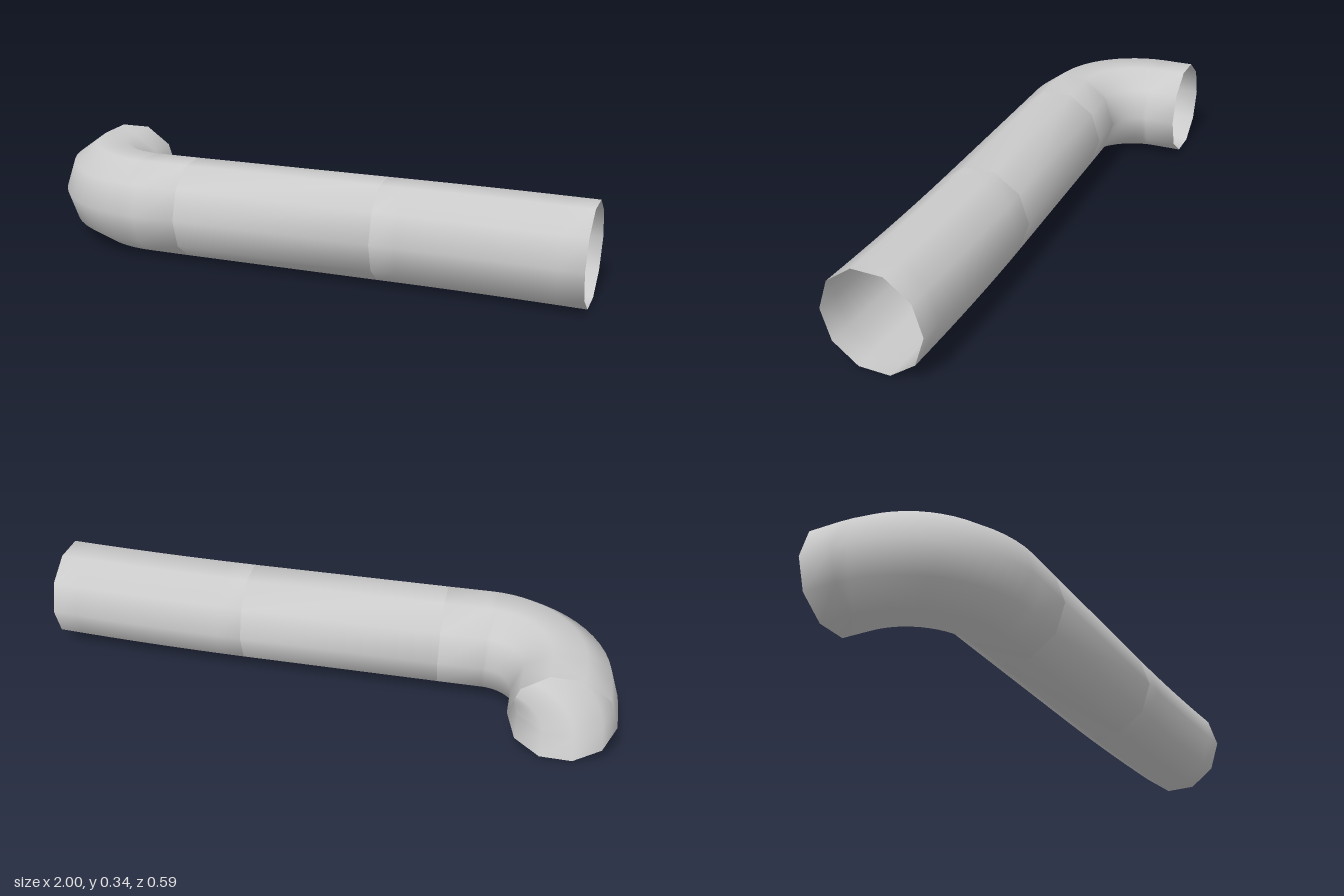
import * as THREE from 'three';

const SIDES = 10;
const RADIUS = 0.174;

// Sweeps an open ten-sided tube along stations {x, y, z, a}; a is the heading in the ground plane (0 = +x, positive = +z).
function sweepTube(name, stations, material) {
  const positions = [];
  const index = [];
  stations.forEach(({ x, y, z, a }, i) => {
    for (let j = 0; j < SIDES; j++) {
      const t = (j / SIDES) * Math.PI * 2;
      const side = RADIUS * Math.cos(t);
      positions.push(x + side * Math.sin(a), y + RADIUS * Math.sin(t), z - side * Math.cos(a));
      if (i < stations.length - 1) {
        const k = (j + 1) % SIDES;
        const p = i * SIDES + j, q = i * SIDES + k;
        index.push(p, q, p + SIDES, q, q + SIDES, p + SIDES);
      }
    }
  });
  const geometry = new THREE.BufferGeometry();
  geometry.setAttribute('position', new THREE.Float32BufferAttribute(positions, 3));
  geometry.setIndex(index);
  geometry.computeVertexNormals();
  const mesh = new THREE.Mesh(geometry, material);
  mesh.name = name;
  return mesh;
}

export function createModel() {
  const group = new THREE.Group();
  group.name = 'pipe';
  const material = new THREE.MeshStandardMaterial({ color: 0xcccccc, side: THREE.DoubleSide });
  const axisZ = 0.097;
  const axisY = 0.167;

  // Elbow: short straight inlet, quarter bend, then a short run to the first joint
  const bend = 0.275, cx = -0.553, cz = axisZ - bend;
  const elbow = [{ x: -0.826, y: 0.172, z: -0.293, a: Math.PI / 2 + 0.012 }];
  const steps = 14;
  for (let i = 0; i <= steps; i++) {
    const a = (Math.PI / 2) * (1 - i / steps);
    elbow.push({
      x: cx - bend * Math.sin(a),
      y: 0.172 - 0.002 * (i / steps),
      z: cz + bend * Math.cos(a),
      a,
    });
  }
  elbow.push({ x: -0.4, y: 0.169, z: axisZ, a: 0 });
  group.add(sweepTube('elbow', elbow, material));

  // Straight middle section
  group.add(sweepTube('middlePipe', [
    { x: -0.4, y: 0.169, z: axisZ, a: 0 },
    { x: 0.295, y: axisY, z: axisZ, a: 0 },
  ], material));

  // End section, bending very slightly towards the front
  const end = [];
  const turn = 0.06, length = 0.695, arc = length / turn;
  for (let i = 0; i <= 8; i++) {
    const a = (turn * i) / 8;
    end.push({
      x: 0.295 + arc * Math.sin(a),
      y: axisY,
      z: axisZ + arc * (1 - Math.cos(a)),
      a,
    });
  }
  group.add(sweepTube('endPipe', end, material));

  return group;
}
